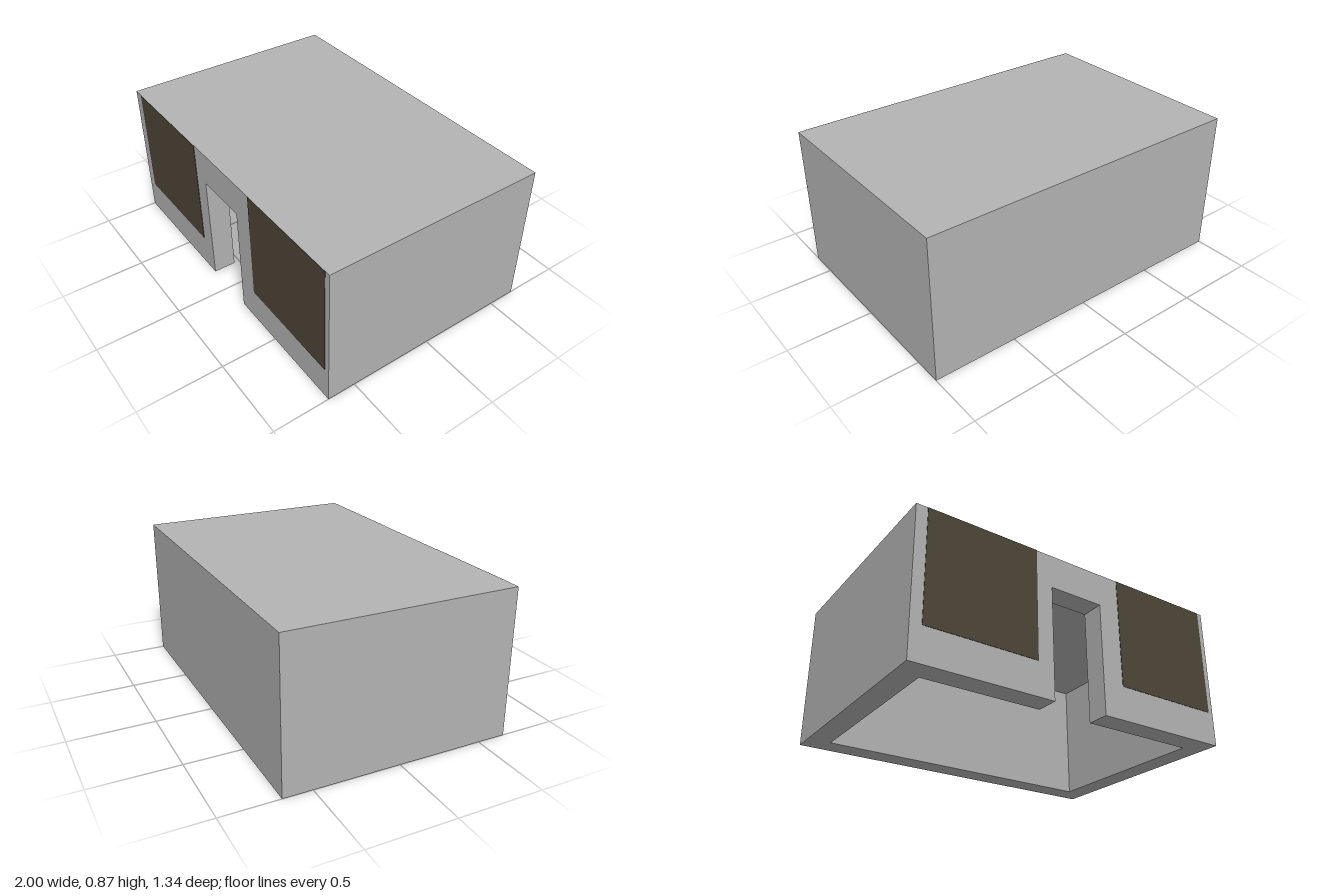
import * as THREE from 'three';

const W = 2, H = 0.8667, D = 1.3333, T = 0.1333; // outer size and wall thickness
const DOOR_HALF = 0.1667, DOOR_TOP = 0.6667;

export function createModel() {
  const model = new THREE.Group();
  model.name = 'hollowBlockHouse';
  const wallGrey = new THREE.MeshStandardMaterial({ color: 0xb3b3b3 });
  wallGrey.name = 'wallGrey';
  const windowBrown = new THREE.MeshStandardMaterial({ color: 0x4d4538 });
  windowBrown.name = 'windowBrown';

  const add = (name, geometry, material, x, y, z) => {
    const mesh = new THREE.Mesh(geometry, material);
    mesh.name = name;
    mesh.position.set(x, y, z);
    model.add(mesh);
  };
  const box = (name, w, h, d, x, y, z, material = wallGrey) =>
    add(name, new THREE.BoxGeometry(w, h, d), material, x, y, z);

  // Front wall with an open doorway cut up from the ground
  const front = new THREE.Shape([
    [-W / 2, 0], [-DOOR_HALF, 0], [-DOOR_HALF, DOOR_TOP], [DOOR_HALF, DOOR_TOP],
    [DOOR_HALF, 0], [W / 2, 0], [W / 2, H], [-W / 2, H],
  ].map(([x, y]) => new THREE.Vector2(x, y)));
  add('frontWall', new THREE.ExtrudeGeometry(front, { depth: T, bevelEnabled: false }),
    wallGrey, 0, 0, D / 2 - T);

  // Back wall, side walls and roof around the empty room, open underneath
  box('backWall', W, H, T, 0, H / 2, -D / 2 + T / 2);
  for (const [name, s] of [['leftWall', 1], ['rightWall', -1]]) {
    box(name, T, H, D - 2 * T, s * (W - T) / 2, H / 2, 0);
  }
  box('roof', W - 2 * T, T, D - 2 * T, 0, H - T / 2, 0);

  // Square window panels on the front, reaching up to the roof edge
  for (const [name, x] of [['rightWindow', -0.6], ['leftWindow', 0.6333]]) {
    box(name, 0.6667, 0.6667, 0.003, x, 0.5333, D / 2 + 0.001, windowBrown);
  }
  return model;
}
